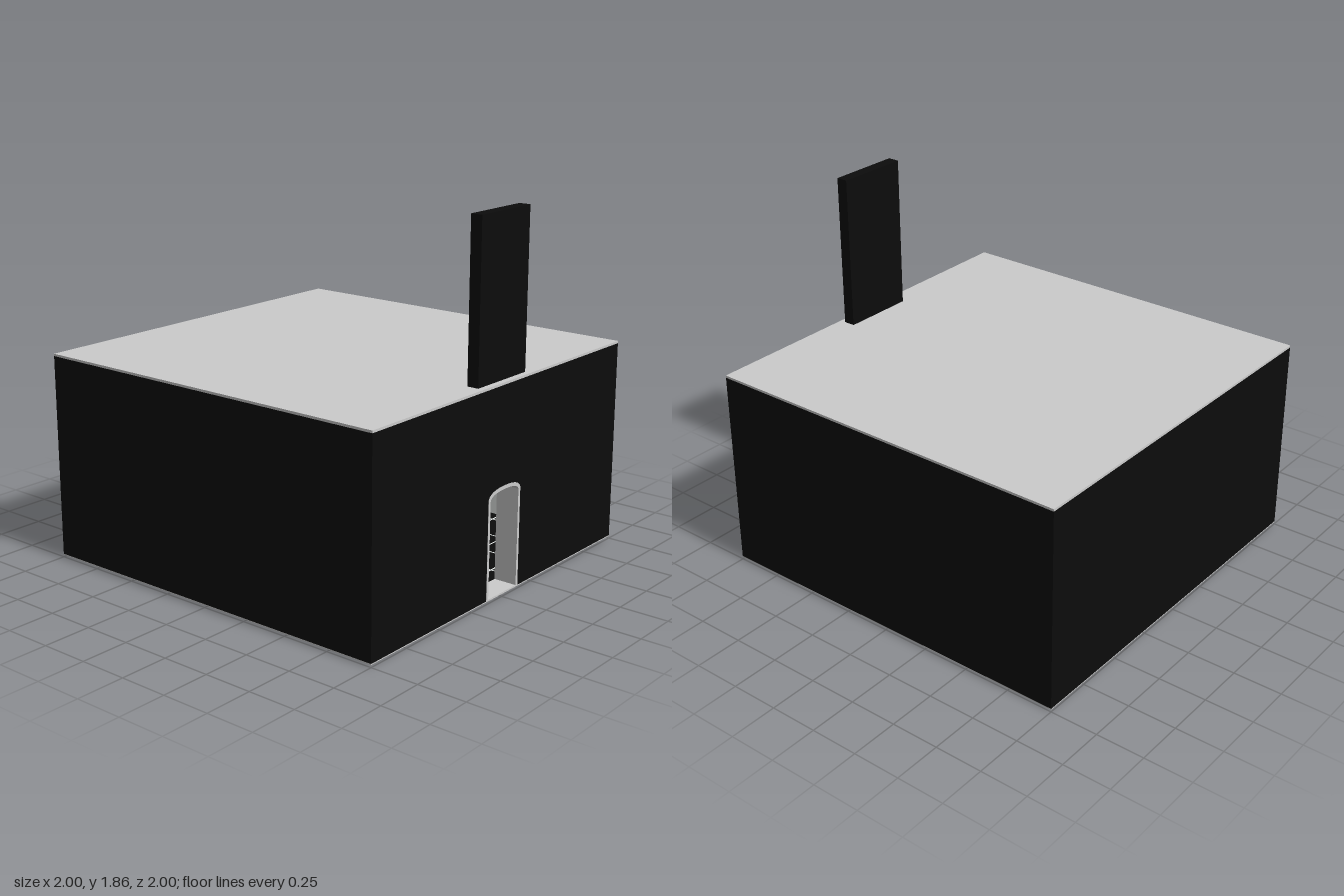
import * as THREE from 'three';

const mat = (color) => new THREE.MeshStandardMaterial({ color });
const grey = mat(0xcccccc), black = mat(0x0c0c0c), white = mat(0xeaeeec), cream = mat(0xd8d6b8);

// box given by its min and max corners
function box(parent, name, m, [x0, y0, z0], [x1, y1, z1]) {
  const mesh = new THREE.Mesh(new THREE.BoxGeometry(x1 - x0, y1 - y0, z1 - z0), m);
  mesh.position.set((x0 + x1) / 2, (y0 + y1) / 2, (z0 + z1) / 2);
  mesh.name = name;
  parent.add(mesh);
  return mesh;
}

// outline of a doorway with a shallow arched head
function arch(path, w, base, spring, control) {
  path.moveTo(-w, base);
  path.lineTo(w, base);
  path.lineTo(w, spring);
  path.quadraticCurveTo(w * 0.9, control, 0, control);
  path.quadraticCurveTo(-w * 0.9, control, -w, spring);
  path.lineTo(-w, base);
  return path;
}

function extrude(parent, name, m, shape, depth, z) {
  const mesh = new THREE.Mesh(new THREE.ExtrudeGeometry(shape, { depth, bevelEnabled: false, curveSegments: 12 }), m);
  mesh.position.z = z;
  mesh.name = name;
  parent.add(mesh);
}

// raised rectangular moulding on the back wall
function moulding(parent, x0, y0, x1, y1, z) {
  const t = 0.008, s = new THREE.Shape();
  s.moveTo(x0, y0).lineTo(x1, y0).lineTo(x1, y1).lineTo(x0, y1).closePath();
  const h = new THREE.Path();
  h.moveTo(x0 + t, y0 + t).lineTo(x0 + t, y1 - t).lineTo(x1 - t, y1 - t).lineTo(x1 - t, y0 + t).closePath();
  s.holes.push(h);
  extrude(parent, 'wallMoulding', grey, s, 0.01, z);
}

function armchair(parent, x, z, turn, footY) {
  const g = new THREE.Group();
  g.name = 'armchair';
  box(g, 'seat', cream, [-0.06, 0.07, -0.06], [0.06, 0.1, 0.06]);
  box(g, 'chairBack', white, [-0.055, 0.1, -0.065], [0.055, 0.21, -0.048]);
  for (const s of [-1, 1]) {
    const arm = box(g, 'armRest', white, [-0.006, 0.13, -0.055], [0.006, 0.14, 0.045]);
    arm.position.x = s * 0.058;
    for (const c of [-1, 1]) {
      const h = 0.075 - footY;
      const leg = new THREE.Mesh(new THREE.CylinderGeometry(0.007, 0.004, h, 8), white);
      leg.position.set(s * 0.052, footY + h / 2, c * 0.05);
      leg.name = 'chairLeg';
      g.add(leg);
    }
  }
  g.position.set(x, 0, z);
  g.rotation.y = turn;
  parent.add(g);
}

export function createModel() {
  const model = new THREE.Group();
  model.name = 'galleryRoom';

  // floor slab with dark tiles and pale joints
  box(model, 'floorSlab', grey, [-1, 0.012, -1], [1, 0.017, 1]);
  box(model, 'floorTiles', black, [-0.88, 0.017, -0.88], [0.88, 0.02, 0.88]);
  for (let i = -4; i <= 4; i++) {
    const p = i * 0.2;
    box(model, 'floorJoint', white, [p - 0.004, 0.019, -0.88], [p + 0.004, 0.021, 0.88]);
    box(model, 'floorJoint', white, [-0.88, 0.019, p - 0.004], [0.88, 0.021, p + 0.004]);
  }
  // dark patches under the slab
  box(model, 'underPatch', black, [-0.68, 0.011, -0.88], [-0.48, 0.013, -0.7]);
  for (let i = 0; i < 4; i++) {
    box(model, 'underStrip', black, [-0.46, 0.011, -0.93 + i * 0.03], [-0.24, 0.013, -0.915 + i * 0.03]);
  }

  // outer walls with pale inner lining
  box(model, 'backWall', black, [-1, 0.017, -1], [1, 1.055, -0.89]);
  box(model, 'backLining', white, [-0.89, 0.017, -0.89], [0.89, 1.055, -0.88]);
  for (const s of [-1, 1]) {
    box(model, 'sideWall', black, [-0.055, 0.017, -0.89], [0.055, 1.055, 0.88]).position.x = s * 0.945;
    box(model, 'sideLining', white, [-0.005, 0.017, -0.88], [0.005, 1.055, 0.88]).position.x = s * 0.885;
  }

  // front wall with arched doorway
  const front = new THREE.Shape();
  front.moveTo(-1, 0.017).lineTo(1, 0.017).lineTo(1, 1.055).lineTo(-1, 1.055).closePath();
  front.holes.push(arch(new THREE.Path(), 0.132, 0.0171, 0.52, 0.562));
  extrude(model, 'frontWall', black, front, 0.12, 0.88);
  const frame = arch(new THREE.Shape(), 0.132, 0.0171, 0.52, 0.562);
  frame.holes.push(arch(new THREE.Path(), 0.116, 0.0175, 0.512, 0.544));
  extrude(model, 'doorFrame', grey, frame, 0.122, 0.879);
  box(model, 'doorSill', grey, [-0.13, 0.017, 0.88], [0.13, 0.021, 1]);

  // roof and tall slab standing on it
  box(model, 'roof', grey, [-1, 1.055, -1], [1, 1.067, 1]);
  box(model, 'monolith', black, [-0.195, 1.06, 0.91], [0.19, 1.86, 0.97]);

  // panelled back wall
  for (let i = -5; i <= 5; i++) {
    const x = i * 0.145;
    moulding(model, x - 0.058, 0.21, x + 0.058, 0.5, -0.88);
  }
  box(model, 'wallRail', grey, [-0.88, 0.19, -0.88], [0.88, 0.2, -0.866]);

  // bed
  const bed = new THREE.Group();
  bed.name = 'bed';
  box(bed, 'headboard', white, [-0.07, 0.02, -0.87], [0.07, 0.17, -0.85]);
  moulding(bed, -0.065, 0.09, 0.065, 0.165, -0.85);
  box(bed, 'bedBase', white, [-0.085, 0.03, -0.85], [0.085, 0.075, -0.5]);
  box(bed, 'mattress', cream, [-0.08, 0.075, -0.85], [0.08, 0.09, -0.51]);
  box(bed, 'footboard', white, [-0.075, 0.02, -0.5], [0.075, 0.08, -0.485]);
  moulding(bed, -0.07, 0.03, 0.07, 0.075, -0.485);
  model.add(bed);
  for (const s of [-1, 1]) {
    box(model, 'bedsideTable', white, [-0.04, 0.02, -0.87], [0.04, 0.12, -0.8]).position.x = s * 0.14;
  }

  // seating
  armchair(model, 0.2, -0.54, -0.3, 0);
  armchair(model, 0.42, 0.52, -0.8, 0);
  armchair(model, -0.5, 0.32, 0.7, 0.018);
  return model;
}
